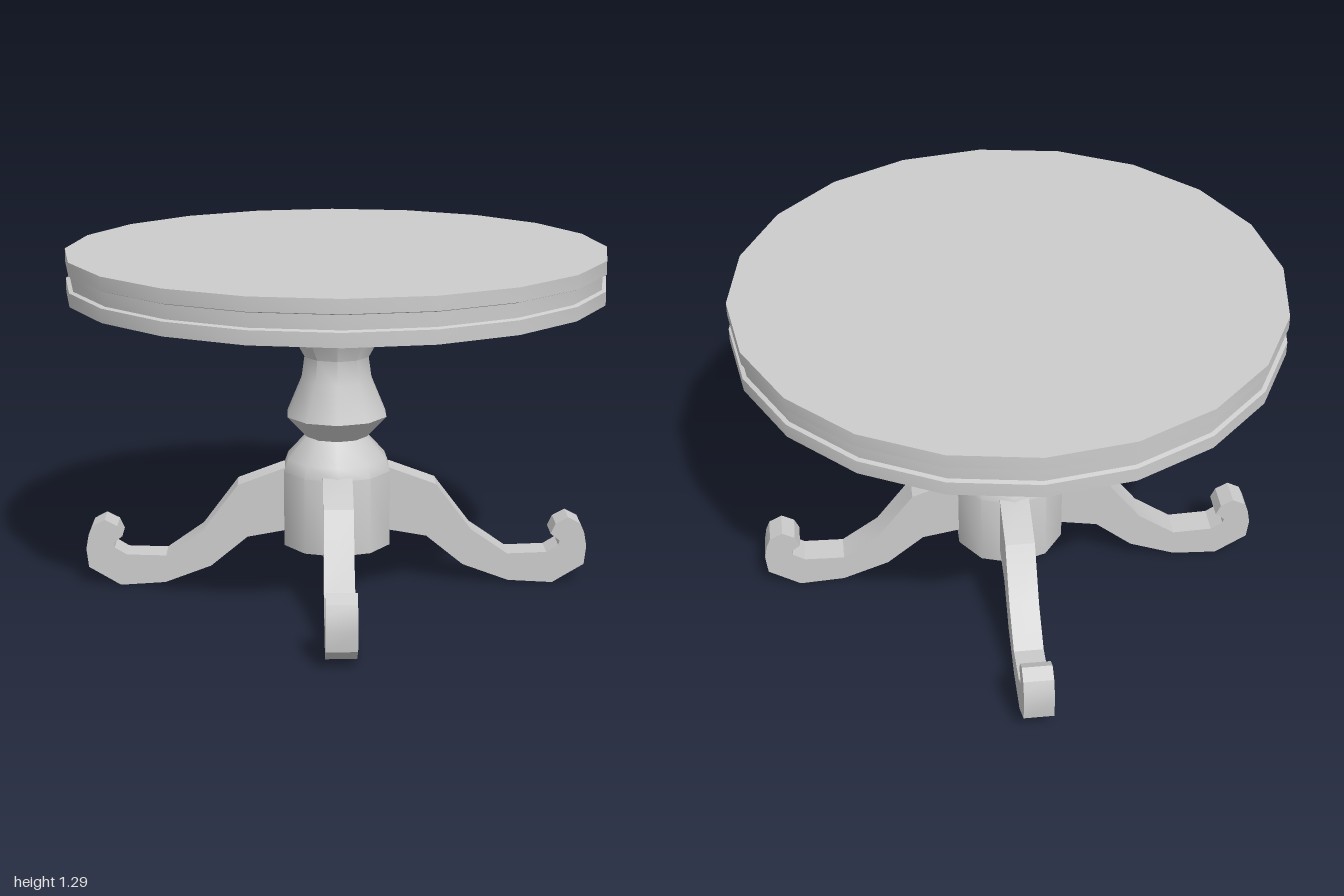
import * as THREE from 'three';
import { toCreasedNormals } from 'three/addons/utils/BufferGeometryUtils.js';

const grey = new THREE.MeshStandardMaterial({ color: 0xcccccc });
grey.name = 'plain grey';

const vectors = (pairs) => pairs.map(([x, y]) => new THREE.Vector2(x, y));

function addPart(parent, name, geometry, crease) {
  const mesh = new THREE.Mesh(toCreasedNormals(geometry, crease), grey);
  mesh.name = name;
  parent.add(mesh);
  return mesh;
}

export function createModel() {
  const table = new THREE.Group();
  table.name = 'pedestalTable';

  // Twenty-sided round top with a shallow groove around its rim
  const top = new THREE.LatheGeometry(vectors([
    [0, 1.135], [1, 1.135], [1, 1.185], [0.985, 1.19],
    [0.985, 1.24], [1, 1.245], [1, 1.295], [0, 1.295],
  ]), 20);
  addPart(table, 'tableTop', top, 0.5);

  // Ten-sided turned column, from hub to neck
  const column = new THREE.LatheGeometry(vectors([
    [0, 0.165], [0.21, 0.165], [0.21, 0.455], [0.193, 0.5], [0.118, 0.583],
    [0.195, 0.665], [0.138, 0.8], [0.125, 0.89], [0.195, 1.017],
    [0.085, 1.045], [0.11, 1.12], [0.1, 1.137], [0, 1.137],
  ]), 10);
  addPart(table, 'column', column, 0.7);

  // Four scrolled legs, cut from one side profile
  const width = 0.11;
  const profile = new THREE.Shape(vectors([
    [0.15, 0.225], [0.2, 0.22], [0.34, 0.195], [0.48, 0.08], [0.655, 0.015],
    [0.825, 0.005], [0.945, 0.078], [0.953, 0.15], [0.943, 0.205], [0.928, 0.24],
    [0.88, 0.265], [0.833, 0.24], [0.815, 0.2], [0.85, 0.172], [0.845, 0.155],
    [0.8, 0.127], [0.65, 0.122], [0.51, 0.22], [0.375, 0.4], [0.2, 0.465], [0.15, 0.465],
  ]));
  const leg = new THREE.ExtrudeGeometry(profile, { depth: width, bevelEnabled: false });
  leg.translate(0, 0, -width / 2);
  ['left', 'back', 'right', 'front'].forEach((side, i) => {
    addPart(table, side + 'Leg', leg, 0.5).rotation.y = i * Math.PI / 2;
  });

  return table;
}
